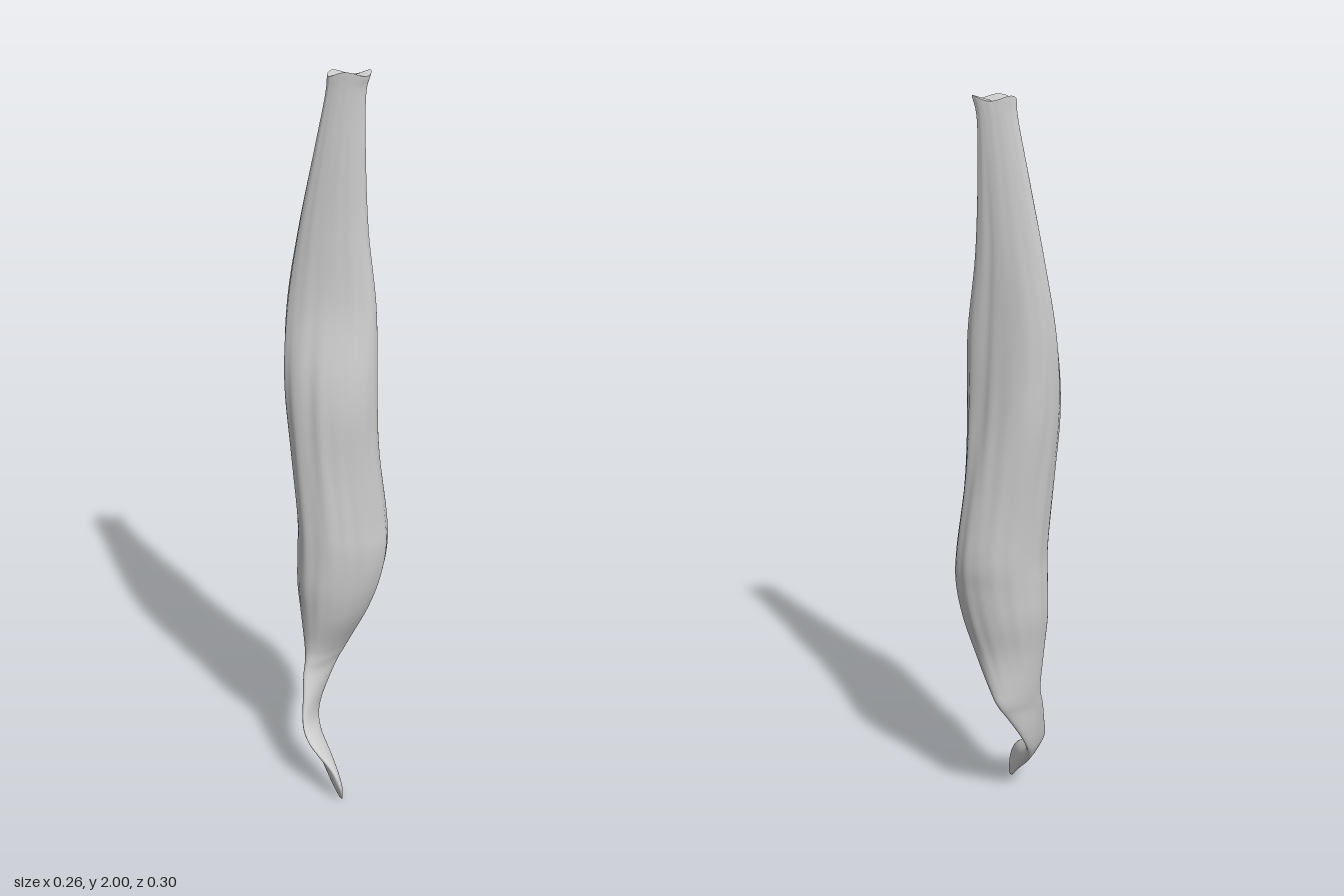
import * as THREE from 'three';

// Cross-sections from tail tip to top: y, xMin, xMax, zMin, zMax, skew.
// skew (-1..1) leans the section's long axis towards one diagonal.
const SECTIONS = [
  [0.00, 0.085, 0.105, 0.11, 0.13, 0.8],
  [0.05, 0.043, 0.11, 0.085, 0.15, 0.85],
  [0.10, -0.003, 0.083, 0.052, 0.146, 0.85],
  [0.15, -0.035, 0.006, 0.022, 0.122, 0.6],
  [0.20, -0.05, -0.025, -0.01, 0.095, 0.2],
  [0.30, -0.062, -0.015, -0.07, 0.055, -0.6],
  [0.35, -0.066, 0.003, -0.098, 0.038, -0.65],
  [0.40, -0.071, 0.027, -0.106, 0.035, -0.6],
  [0.50, -0.08, 0.077, -0.112, 0.05, -0.45],
  [0.60, -0.09, 0.112, -0.13, 0.064, -0.35],
  [0.70, -0.09, 0.128, -0.143, 0.068, -0.33],
  [0.80, -0.09, 0.122, -0.149, 0.07, -0.32],
  [1.00, -0.106, 0.105, -0.128, 0.07, -0.32],
  [1.20, -0.124, 0.10, -0.108, 0.056, -0.42],
  [1.40, -0.128, 0.088, -0.102, 0.012, -0.6],
  [1.60, -0.103, 0.064, -0.098, -0.012, -0.6],
  [1.80, -0.064, 0.054, -0.096, -0.027, -0.65],
  [1.94, -0.036, 0.053, -0.096, -0.036, -0.7],
  [2.00, -0.03, 0.064, -0.1, -0.036, -0.75],
];
const ROWS = 144;
const SIDES = 72;

const spline = (i, j, k) => new THREE.CatmullRomCurve3(
  SECTIONS.map((s) => new THREE.Vector3(s[i], s[j], s[k])), false, 'catmullrom', 0.5);

// Lengthwise band centred on angle t0, fading out towards heights y0 and y1
function band(t, y, t0, width, y0, y1, fade) {
  const d = Math.atan2(Math.sin(t - t0), Math.cos(t - t0)) / width;
  const { smoothstep } = THREE.MathUtils;
  return Math.exp(-d * d) * smoothstep(y, y0, y0 + fade) * (1 - smoothstep(y, y1 - fade, y1));
}

function muscleGeometry() {
  const xCurve = spline(0, 1, 2);
  const zCurve = spline(3, 4, 5);
  const pos = [];
  const index = [];
  for (let r = 0; r <= ROWS; r++) {
    const { x: y, y: x0, z: x1 } = xCurve.getPoint(r / ROWS);
    const { x: z0, y: z1, z: skew } = zCurve.getPoint(r / ROWS);
    const phase = Math.acos(THREE.MathUtils.clamp(skew, -0.95, 0.95));
    const belly = THREE.MathUtils.smoothstep(y, 0.3, 0.6);
    const rim = THREE.MathUtils.smoothstep(y, 1.95, 2);
    for (let s = 0; s < SIDES; s++) {
      const t = (s / SIDES) * Math.PI * 2;
      // Fibre ridges twisting slowly along the belly
      const ridges = 0.009 * Math.sin(11 * t + 3 * y) + 0.008 * Math.sin(17 * t - 5 * y);
      const k = 1 + belly * ridges
        + 0.24 * band(t, y, phase / 2 + Math.PI, 0.45, 0.85, 1.75, 0.4) // back bulge
        - 0.17 * band(t, y, phase / 2, 0.6, 0.4, 1.15, 0.25) // flattened lower front
        - 0.06 * band(t, y, 1.8, 0.22, 0.5, 1.4, 0.25) // front furrow
        - 0.08 * band(t, y, 5.2, 0.25, 0.9, 1.95, 0.3); // side furrow
      pos.push(
        (x0 + x1) / 2 + ((x1 - x0) / 2) * k * Math.cos(t),
        y - rim * 0.006 * (1 + Math.sin(3 * t)),
        (z0 + z1) / 2 + ((z1 - z0) / 2) * k * Math.cos(t - phase));
    }
  }
  for (let r = 0; r < ROWS; r++) {
    for (let s = 0; s < SIDES; s++) {
      const a = r * SIDES + s;
      const b = r * SIDES + ((s + 1) % SIDES);
      index.push(a, a + SIDES, b, b, a + SIDES, b + SIDES);
    }
  }
  // Close the tail tip
  const tip = pos.length / 3;
  pos.push(0.095, 0, 0.12);
  for (let s = 0; s < SIDES; s++) index.push(tip, s, (s + 1) % SIDES);
  return build(pos, index);
}

// Slightly sunken cap filling the cut top end
function capGeometry(body) {
  const p = body.attributes.position;
  const pos = [0.017, 1.985, -0.068];
  const index = [];
  for (let s = 0; s < SIDES; s++) {
    const v = ROWS * SIDES + s;
    pos.push(p.getX(v), p.getY(v), p.getZ(v));
    index.push(0, 1 + ((s + 1) % SIDES), 1 + s);
  }
  return build(pos, index);
}

function build(pos, index) {
  const g = new THREE.BufferGeometry();
  g.setAttribute('position', new THREE.Float32BufferAttribute(pos, 3));
  g.setIndex(index);
  g.computeVertexNormals();
  return g;
}

export function createModel() {
  const group = new THREE.Group();
  group.name = 'muscle';
  const material = new THREE.MeshStandardMaterial({ color: 0xcccccc });
  const belly = new THREE.Mesh(muscleGeometry(), material);
  belly.name = 'muscleBellyAndTendon';
  const cap = new THREE.Mesh(capGeometry(belly.geometry), material);
  cap.name = 'upperEnd';
  group.add(belly, cap);
  return group;
}
